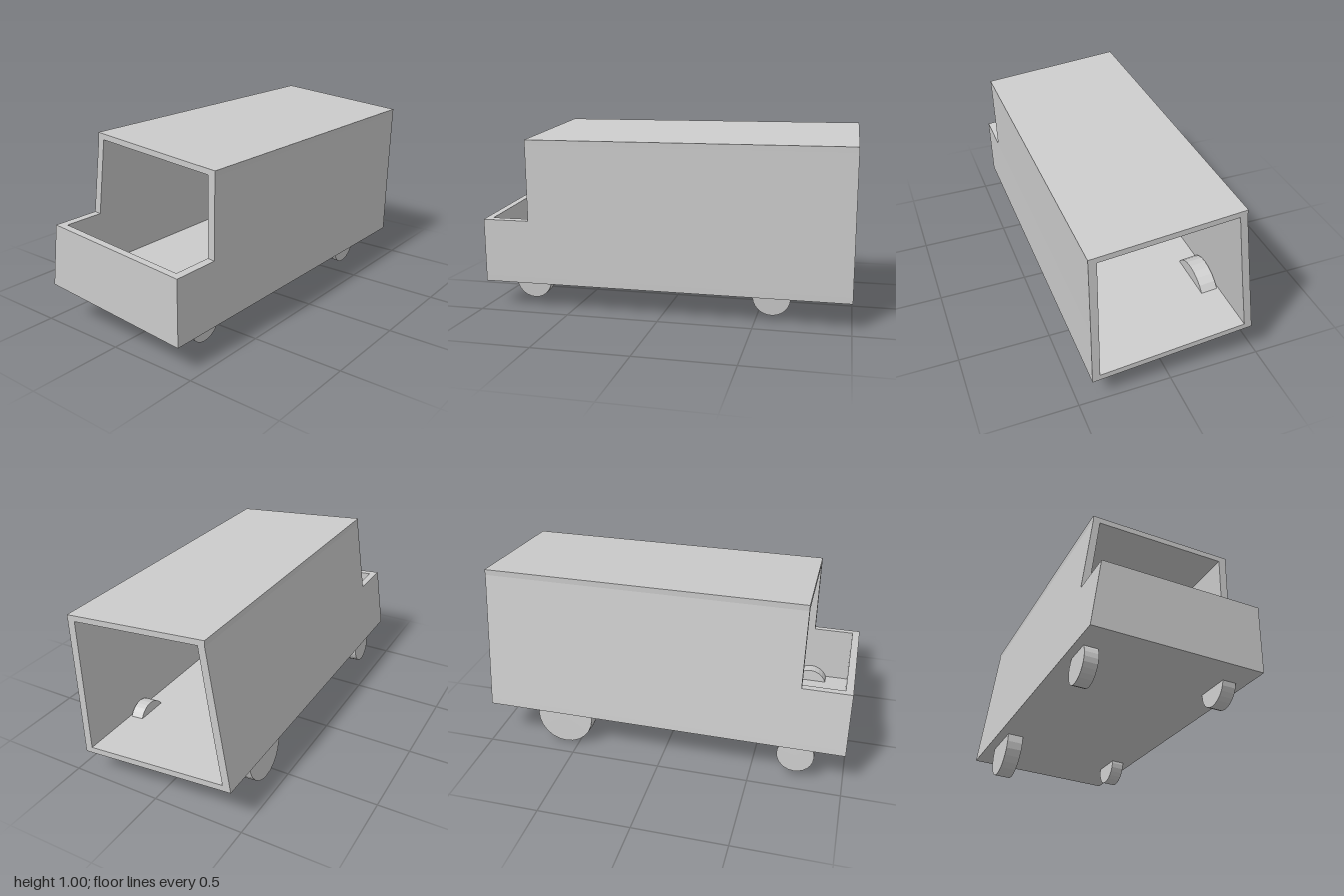
import * as THREE from 'three';

const TILT = -0.086; // sideways lean of floor, roof and axles
const material = new THREE.MeshStandardMaterial({ color: 0xcccccc, flatShading: true });

// Solid slab: an x-y outline swept from z0 to z1
function slab(name, points, z0, z1) {
  const shape = new THREE.Shape(points.map(([x, y]) => new THREE.Vector2(x, y)));
  const geometry = new THREE.ExtrudeGeometry(shape, { depth: z1 - z0, bevelEnabled: false });
  geometry.translate(0, 0, z0);
  const mesh = new THREE.Mesh(geometry, material);
  mesh.name = name;
  return mesh;
}

// Wheel with its axle leaning along the floor
function wheel(name, x, y, z, radius, width) {
  const geometry = new THREE.CylinderGeometry(radius, radius, width, 24);
  geometry.rotateZ(Math.PI / 2);
  const mesh = new THREE.Mesh(geometry, material);
  mesh.name = name;
  mesh.position.set(x, y, z);
  mesh.rotation.z = TILT;
  return mesh;
}

// Side wall given as [outer, inner] pairs at floor, sill and roof height
function wall(name, [floor, sill, roof]) {
  const group = new THREE.Group();
  group.name = name;
  group.add(
    slab('lowerPanel', [floor[0], floor[1], sill[1], sill[0]], -1, 1),
    slab('upperPanel', [sill[0], sill[1], roof[1], roof[0]], -1, 0.74)
  );
  return group;
}

export function createModel() {
  const model = new THREE.Group();
  model.name = 'van';

  // Body shell, open at the back and above the bonnet
  model.add(
    slab('floor', [[-0.445, 0.218], [0.427, 0.143], [0.428, 0.176], [-0.44, 0.251]], -1, 1),
    slab('roof', [[-0.327, 0.972], [0.442, 0.907], [0.443, 0.937], [-0.327, 1.003]], -1, 0.74),
    wall('rightWall', [
      [[-0.44, 0.251], [-0.4, 0.247]],
      [[-0.391, 0.562], [-0.351, 0.559]],
      [[-0.327, 0.972], [-0.29, 0.969]],
    ]),
    wall('leftWall', [
      [[0.428, 0.176], [0.387, 0.179]],
      [[0.433, 0.493], [0.393, 0.497]],
      [[0.442, 0.907], [0.401, 0.911]],
    ]),
    slab('frontPanel', [[-0.4, 0.247], [0.387, 0.179], [0.393, 0.497], [-0.351, 0.559]], 0.96, 1)
  );

  // Wheels: one rear wheel is oversized
  model.add(
    wheel('frontRightWheel', -0.374, 0.148, 0.74, 0.1, 0.071),
    wheel('frontLeftWheel', 0.339, 0.15, 0.74, 0.1, 0.071),
    wheel('rearRightWheel', -0.353, 0.164, -0.575, 0.16, 0.09),
    wheel('rearLeftWheel', 0.338, 0.137, -0.585, 0.1, 0.071)
  );
  return model;
}
